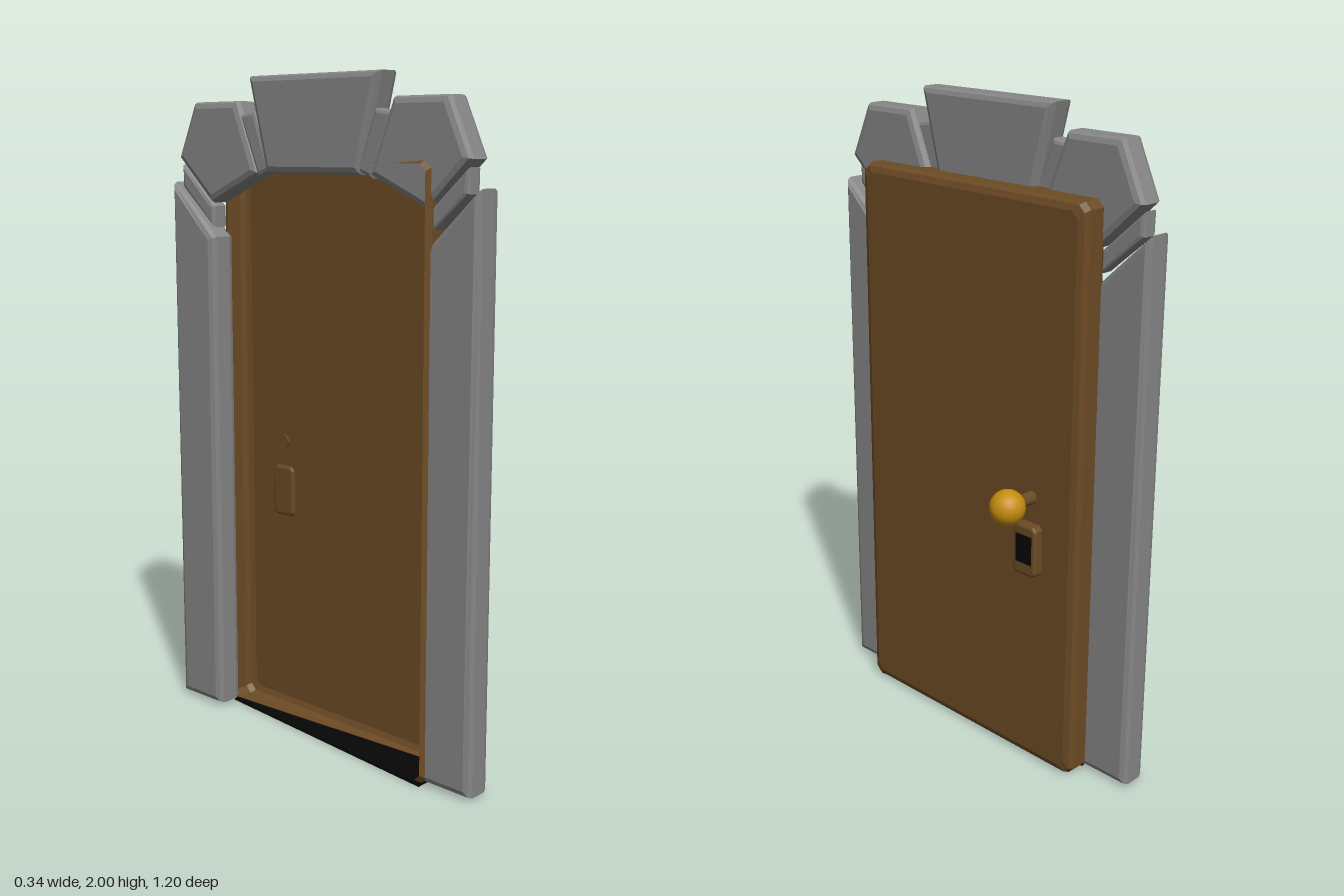
import * as THREE from 'three';

const mat = (name, color, side = THREE.FrontSide) => {
  const m = new THREE.MeshStandardMaterial({ color, side });
  m.name = name;
  return m;
};

export function createModel() {
  const group = new THREE.Group();
  const stone = mat('grey stone', 0x868686);
  const wood = mat('brown wood', 0x6c4b25, THREE.DoubleSide);
  const brass = mat('brass', 0xc58d0d);
  const black = mat('black', 0x060606, THREE.DoubleSide);

  const add = (name, geometry, material, x = 0, y = 0, z = 0) => {
    const mesh = new THREE.Mesh(geometry, material);
    mesh.name = name;
    mesh.position.set(x, y, z);
    group.add(mesh);
    return mesh;
  };

  // Bevelled slab: outline as [z, y] pairs, running from x0 to x1
  const slab = (outline, x0, x1, bevel) => {
    const shape = new THREE.Shape(outline.map(([z, y]) => new THREE.Vector2(-z, y)));
    const g = new THREE.ExtrudeGeometry(shape, {
      depth: x1 - x0 - 2 * bevel, bevelThickness: bevel, bevelSize: bevel,
      bevelOffset: -bevel, bevelSegments: 2,
    });
    g.rotateY(Math.PI / 2);
    g.translate(x0 + bevel, 0, 0);
    return g;
  };

  // Stone surround: keystone, then mirrored posts, arch stones and joint pieces
  add('keystone', slab([[-0.255, 2], [0.255, 2], [0.185, 1.72], [-0.185, 1.72]], -0.155, -0.065, 0.02), stone);
  const sideStones = [
    ['post', [[0.42, 0.015], [0.6, 0.015], [0.6, 1.69], [0.42, 1.525]], -0.155, -0.063, 0.02],
    ['archStone', [[0.22, 1.72], [0.425, 1.63], [0.57, 1.765], [0.495, 1.93], [0.305, 1.93]], -0.155, -0.065, 0.02],
    ['upperJoint', [[0.17, 1.73], [0.225, 1.71], [0.3, 1.89], [0.235, 1.9]], -0.147, -0.09, 0.012],
    ['lowerJoint', [[0.42, 1.555], [0.56, 1.675], [0.56, 1.745], [0.42, 1.62]], -0.147, -0.09, 0.012],
  ];
  for (const side of [1, -1]) {
    for (const [name, outline, x0, x1, bevel] of sideStones) {
      add(name + (side > 0 ? 'Front' : 'Back'),
        slab(outline.map(([z, y]) => [z * side, y]), x0, x1, bevel), stone);
    }
  }

  // Door: hollow shell, open behind, deeper at the hinge edge
  const frontX = (z) => 0.008 - 0.012 * z;
  const backX = (z) => -0.125 - 0.1 * z;
  const ring = (inset, xAt) => {
    const w = 0.447 - inset, lo = 0.01 + inset, hi = 1.765 - inset, c = 0.02;
    return [[w, lo + c], [w - c, lo], [c - w, lo], [-w, lo + c], [-w, hi - c], [c - w, hi], [w - c, hi], [w, hi - c]]
      .map(([z, y]) => [xAt(z), y, z]);
  };
  const rings = [
    ring(0.012, backX),
    ring(0, (z) => backX(z) + 0.018),
    ring(0, (z) => frontX(z) - 0.025),
    ring(0.007, (z) => frontX(z) - 0.007),
    ring(0.025, frontX),
  ];
  const pos = [];
  for (let r = 0; r < rings.length - 1; r++) {
    for (let i = 0; i < 8; i++) {
      const j = (i + 1) % 8;
      const a = rings[r][i], b = rings[r][j], c = rings[r + 1][j], d = rings[r + 1][i];
      pos.push(...a, ...b, ...c, ...a, ...c, ...d);
    }
  }
  const cap = rings[rings.length - 1];
  for (let i = 1; i < 7; i++) pos.push(...cap[0], ...cap[i], ...cap[i + 1]);
  const shell = new THREE.BufferGeometry();
  shell.setAttribute('position', new THREE.Float32BufferAttribute(pos, 3));
  shell.computeVertexNormals();
  add('door', shell, wood);

  // Dark wedge along the bottom of the door
  const wedge = new THREE.Shape([[-0.165, 0.43], [-0.015, 0.43], [-0.07, -0.43], [-0.08, -0.43]]
    .map(([x, z]) => new THREE.Vector2(x, z)));
  const wedgeGeometry = new THREE.ExtrudeGeometry(wedge, { depth: 0.009, bevelEnabled: false });
  wedgeGeometry.rotateX(Math.PI / 2);
  add('bottomWedge', wedgeGeometry, black, 0, 0.014, 0);

  // Lock plate with keyhole
  const rect = (w, y0, y1, c) => [
    [w, y0 + c], [w - c, y0], [c - w, y0], [-w, y0 + c], [-w, y1 - c], [c - w, y1], [w - c, y1], [w, y1 - c],
  ];
  add('lockPlate', slab(rect(0.043, 0.645, 0.805, 0.012), 0, 0.044, 0.008), wood, 0, 0, -0.277);
  add('keyhole', new THREE.BoxGeometry(0.004, 0.09, 0.06), black, 0.044, 0.73, -0.277);

  // Knob on its stem
  const stem = new THREE.CylinderGeometry(0.02, 0.02, 0.09, 12);
  stem.rotateZ(Math.PI / 2);
  add('knobStem', stem, wood, 0.05, 0.885, -0.277);
  add('knob', new THREE.SphereGeometry(0.053, 20, 14), brass, 0.115, 0.885, -0.277);

  return group;
}
